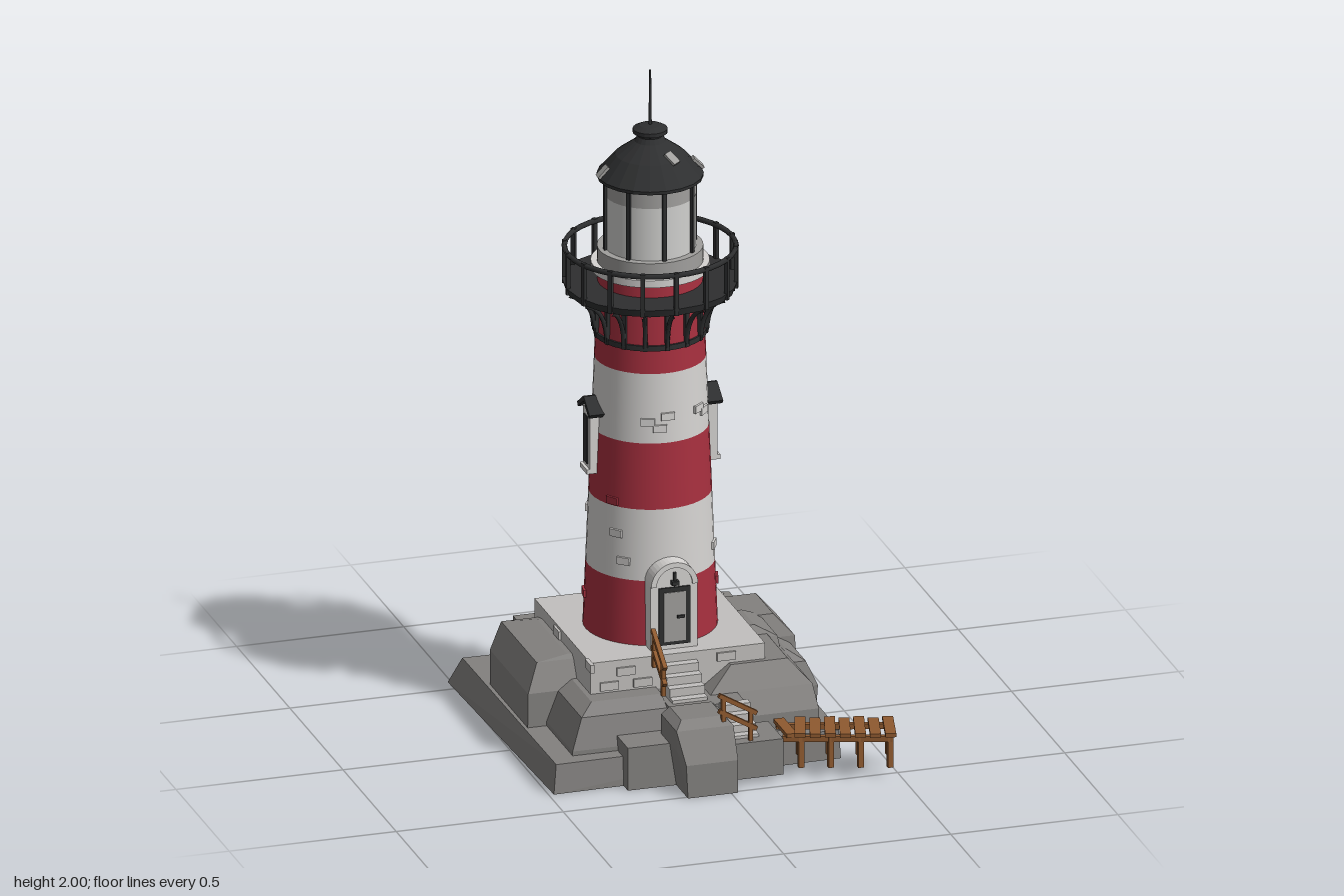
import * as THREE from 'three';
import { ConvexGeometry } from 'three/addons/geometries/ConvexGeometry.js';

const CX = -0.053, CZ = -0.088; // tower axis

export function createModel() {
  const model = new THREE.Group();
  model.name = 'lighthouse';
  const material = (name, color, extra = {}) => {
    const m = new THREE.MeshStandardMaterial({ color, ...extra });
    m.name = name;
    return m;
  };
  const red = material('red paint', 0xa8303f);
  const white = material('white paint', 0xd6d4d2);
  const stone = material('pale stone', 0xc2c0be);
  const rockMat = material('rock', 0x83817f);
  const iron = material('dark iron', 0x2e2f30);
  const glass = material('lantern glass', 0xd0d0ce);
  const grey = material('grey trim', 0xa09f9d);
  const wood = material('wood', 0x8f5a30);

  const add = (parent, name, geometry, mat, x = 0, y = 0, z = 0) => {
    const mesh = new THREE.Mesh(geometry, mat);
    mesh.name = name;
    mesh.position.set(x, y, z);
    parent.add(mesh);
    return mesh;
  };
  const group = (name, parent = model, x = 0, y = 0, z = 0) => {
    const g = new THREE.Group();
    g.name = name;
    g.position.set(x, y, z);
    parent.add(g);
    return g;
  };
  const box = (parent, name, mat, w, h, d, x, y, z) =>
    add(parent, name, new THREE.BoxGeometry(w, h, d), mat, x, y, z);
  const cyl = (parent, name, mat, r0, r1, y0, y1, sides = 32) =>
    add(parent, name, new THREE.CylinderGeometry(r1, r0, y1 - y0, sides), mat, 0, (y0 + y1) / 2, 0);
  // square beam between two points
  const beam = (parent, name, mat, a, b, size) => {
    const p = new THREE.Vector3(...a), q = new THREE.Vector3(...b);
    const m = box(parent, name, mat, size, size, p.distanceTo(q), 0, 0, 0);
    m.position.copy(p).add(q).multiplyScalar(0.5);
    m.lookAt(q);
    return m;
  };
  // convex stone through stacked rectangles [y, x0, x1, z0, z1]
  const hull = (parent, name, mat, rings) => {
    const pts = [];
    for (const [y, x0, x1, z0, z1] of rings)
      for (const x of [x0, x1]) for (const z of [z0, z1]) pts.push(new THREE.Vector3(x, y, z));
    return add(parent, name, new ConvexGeometry(pts), mat);
  };

  // rock base
  const rocks = group('rocks');
  const slab = [[-0.51, -0.555], [0.385, -0.525], [0.38, 0.345], [-0.485, 0.365]];
  const slabTop = [[-0.48, -0.512], [0.38, -0.505], [0.375, 0.342], [-0.475, 0.355]];
  add(rocks, 'baseSlab', new ConvexGeometry([
    ...slab.map(([x, z]) => new THREE.Vector3(x, 0, z)),
    ...slabTop.map(([x, z]) => new THREE.Vector3(x, 0.087, z)),
  ]), rockMat);
  const rockList = {
    coreRock: [[0.05, -0.32, 0.24, -0.38, 0.2], [0.24, -0.31, 0.21, -0.35, 0.17]],
    backRock: [[0.05, -0.33, 0.29, -0.51, -0.2], [0.2, -0.33, 0.29, -0.508, -0.2]],
    backRightRock: [[0.05, 0.12, 0.295, -0.47, -0.2], [0.225, 0.12, 0.295, -0.44, -0.2], [0.245, 0.12, 0.25, -0.4, -0.2]],
    leftRock: [[0.05, -0.467, -0.25, -0.29, 0.06], [0.19, -0.465, -0.25, -0.3, 0.06], [0.265, -0.425, -0.25, -0.32, 0.015], [0.275, -0.33, -0.25, -0.28, 0]],
    frontLeftRock: [[0.05, -0.41, -0.12, 0.0, 0.305], [0.1, -0.41, -0.12, 0.0, 0.305], [0.19, -0.375, -0.12, 0.02, 0.28], [0.215, -0.33, -0.12, 0.02, 0.23]],
    frontLeftStep: [[0, -0.275, -0.1, 0.28, 0.4], [0.13, -0.275, -0.1, 0.28, 0.4]],
    frontRock: [[0, -0.13, 0.02, 0.33, 0.51], [0.1, -0.135, 0.02, 0.33, 0.51], [0.13, -0.15, 0.025, 0.32, 0.47], [0.19, -0.15, 0.02, 0.32, 0.465], [0.21, -0.125, 0, 0.32, 0.43]],
    landingRock: [[0.02, 0, 0.17, 0.3, 0.463], [0.13, 0, 0.17, 0.32, 0.463]],
    stairRock: [[0.05, -0.12, 0.12, 0.15, 0.33], [0.2, -0.12, 0.1, 0.15, 0.32]],
    frontRightRock: [[0.05, 0, 0.33, -0.05, 0.3], [0.14, 0, 0.33, -0.05, 0.295], [0.2, 0.02, 0.325, -0.05, 0.25], [0.262, 0.1, 0.27, -0.05, 0.19]],
    rightRock: [[0.03, 0.2, 0.4, -0.24, 0.05], [0.11, 0.2, 0.405, -0.24, 0.05], [0.18, 0.2, 0.375, -0.2, 0.03], [0.205, 0.2, 0.33, -0.19, -0.02]],
    rightBackRock: [[0.05, 0.2, 0.395, -0.31, -0.1], [0.2, 0.2, 0.39, -0.3, -0.12], [0.262, 0.2, 0.335, -0.315, -0.15]],
    rightTopRock: [[0.15, 0.18, 0.31, -0.19, 0.05], [0.255, 0.18, 0.3, -0.18, 0.0], [0.285, 0.18, 0.24, -0.15, -0.03]],
  };
  for (const [name, rings] of Object.entries(rockList)) hull(rocks, name, rockMat, rings);
  add(rocks, 'paleShard', new ConvexGeometry([
    [0.165, 0.24, -0.42], [0.265, 0.24, -0.39], [0.22, 0.24, -0.36], [0.22, 0.28, -0.385],
  ].map((p) => new THREE.Vector3(...p))), stone);

  // stone platform with one cut corner and loose bricks
  const platform = group('platform');
  const outline = new THREE.Shape([[-0.315, 0.353], [0.11, 0.353], [0.207, 0.305], [0.207, -0.175], [-0.315, -0.175]]
    .reverse().map(([x, y]) => new THREE.Vector2(x, y)));
  const foot = new THREE.ExtrudeGeometry(outline, { depth: 0.11, bevelEnabled: false }).rotateX(-Math.PI / 2);
  add(platform, 'platformBlock', foot, stone, 0, 0.2, 0);
  for (const [x, y] of [[-0.26, 0.235], [-0.21, 0.275], [-0.16, 0.235], [0.09, 0.285]]) {
    box(platform, 'platformBrick', stone, 0.055, 0.025, 0.012, x, y, 0.176);
    box(platform, 'platformBrick', stone, 0.055, 0.025, 0.012, x + 0.05, y + 0.01, -0.354);
    box(platform, 'platformBrick', stone, 0.012, 0.025, 0.055, -0.316, y + 0.015, x + 0.08);
  }

  // two flights of steps
  const steps = group('steps');
  for (let i = 0; i < 4; i++) {
    const h = 0.285 - i * 0.025;
    box(steps, 'upperStep', stone, 0.105, h - 0.1, 0.028, -0.051, (h + 0.1) / 2, 0.187 + i * 0.027);
    const l = 0.205 - i * 0.022;
    box(steps, 'lowerStep', stone, 0.085, l - 0.1, 0.028, 0.066, (l + 0.1) / 2, 0.335 + i * 0.026);
  }

  // striped tower
  const tower = group('tower', model, CX, 0, CZ);
  const radius = (y) => 0.193 - 0.04 * (y - 0.31);
  [0.31, 0.505, 0.72, 0.92, 1.13, 1.4].forEach((y, i, a) => {
    if (i < 5) cyl(tower, i % 2 ? 'whiteBand' : 'redBand', i % 2 ? white : red, radius(y), radius(a[i + 1]), y, a[i + 1], 40);
  });
  // raised bricks: angle from the front in degrees, height
  const bricks = [[-55, 0.735], [-42, 0.56], [-50, 0.64], [38, 1.0], [48, 0.985], [62, 0.56], [75, 0.44], [115, 1.02],
    [125, 0.98], [-20, 0.985], [-8, 0.965], [0, 1.0], [160, 1.02], [172, 1.0], [185, 0.6], [200, 0.58], [-120, 0.65], [-130, 0.82], [-100, 0.41]];
  for (const [deg, y] of bricks) {
    const isRed = y < 0.505 || (y > 0.72 && y < 0.92);
    const pivot = group('brick', tower);
    pivot.rotation.y = THREE.MathUtils.degToRad(deg);
    box(pivot, 'towerBrick', isRed ? red : white, 0.04, 0.022, 0.02, 0, y, radius(y) - 0.004);
  }

  // arched doorway
  const door = group('door', tower);
  const arch = new THREE.Shape();
  arch.moveTo(-0.07, 0.31);
  arch.lineTo(0.07, 0.31);
  arch.lineTo(0.07, 0.505);
  arch.absarc(0, 0.505, 0.07, 0, Math.PI, false);
  arch.closePath();
  add(door, 'doorSurround', new THREE.ExtrudeGeometry(arch, { depth: 0.11, bevelEnabled: false, curveSegments: 10 }), white, 0, 0, 0.115);
  const rim = new THREE.Shape();
  rim.absarc(0, 0.505, 0.07, 0, Math.PI, false);
  rim.absarc(0, 0.505, 0.054, Math.PI, 0, true);
  add(door, 'archRim', new THREE.ExtrudeGeometry(rim, { depth: 0.006, bevelEnabled: false, curveSegments: 10 }), white, 0, 0, 0.225);
  box(door, 'doorFrame', iron, 0.094, 0.175, 0.008, 0, 0.412, 0.226);
  box(door, 'doorPanel', grey, 0.066, 0.15, 0.006, 0, 0.41, 0.229);
  box(door, 'doorKnob', iron, 0.022, 0.008, 0.01, 0.018, 0.41, 0.233);
  box(door, 'doorLampArm', iron, 0.008, 0.04, 0.012, 0, 0.525, 0.23);
  box(door, 'doorLamp', iron, 0.022, 0.012, 0.018, 0, 0.515, 0.234);

  // gabled windows on both sides
  for (const side of [-1, 1]) {
    const w = group('window', tower);
    w.rotation.y = side * Math.PI / 2;
    box(w, 'windowFrame', white, 0.066, 0.19, 0.05, 0, 0.89, 0.166);
    box(w, 'windowPane', iron, 0.03, 0.145, 0.006, 0, 0.892, 0.191);
    box(w, 'windowSill', white, 0.066, 0.014, 0.012, 0, 0.802, 0.194);
    add(w, 'windowGable', new THREE.CylinderGeometry(0.033, 0.033, 0.04, 3).rotateX(-Math.PI / 2), white, 0, 0.985, 0.17);
    for (const s of [-1, 1]) {
      const r = box(w, 'windowRoof', iron, 0.068, 0.014, 0.06, s * 0.027, 0.998, 0.17);
      r.rotation.z = -s * 0.6;
    }
  }

  // gallery deck, brackets and railing
  const gallery = group('gallery', tower);
  cyl(gallery, 'deck', iron, 0.245, 0.252, 1.338, 1.36, 20);
  cyl(gallery, 'bracketRing', iron, 0.163, 0.163, 1.2, 1.216, 32);
  const ring = (name, r, t, y) => add(gallery, name, new THREE.TorusGeometry(r, t, 6, 40).rotateX(Math.PI / 2), iron, 0, y, 0);
  ring('topRail', 0.245, 0.008, 1.462);
  const curve = new THREE.QuadraticBezierCurve3(
    new THREE.Vector3(0, 1.21, 0.162), new THREE.Vector3(0, 1.315, 0.168), new THREE.Vector3(0, 1.337, 0.243));
  const bracketGeo = new THREE.TubeGeometry(curve, 8, 0.007, 5);
  for (let i = 0; i < 16; i++) {
    const p = group('galleryBay', gallery);
    p.rotation.y = i * Math.PI / 8;
    add(p, 'bracket', bracketGeo, iron);
    box(p, 'bracketRib', iron, 0.012, 0.14, 0.012, 0, 1.27, 0.16);
    box(p, 'railPost', iron, 0.012, 0.13, 0.012, 0, 1.405, 0.246);
  }

  // lantern room
  const lantern = group('lantern', tower);
  cyl(lantern, 'lanternLedge', white, 0.17, 0.17, 1.398, 1.42, 40);
  cyl(lantern, 'lanternBase', grey, 0.152, 0.152, 1.42, 1.465, 40);
  cyl(lantern, 'lanternGlass', glass, 0.131, 0.131, 1.465, 1.625);
  cyl(lantern, 'lanternCollar', grey, 0.132, 0.132, 1.625, 1.685);
  for (let i = 0; i < 8; i++) {
    const a = i * Math.PI / 4;
    const post = box(lantern, 'lanternPost', iron, 0.012, 0.225, 0.012, Math.sin(a) * 0.133, 1.572, Math.cos(a) * 0.133);
    post.rotation.y = a;
  }

  // roof, cap and mast
  const roof = group('roof', tower);
  const profile = [[0, 1.675], [0.152, 1.675], [0.153, 1.685], [0.1, 1.745], [0.045, 1.785], [0.036, 1.8], [0.038, 1.805],
    [0.05, 1.81], [0.05, 1.822], [0.03, 1.832], [0, 1.835]].map(([x, y]) => new THREE.Vector2(x, y));
  const roofMesh = add(roof, 'roofShell', new THREE.LatheGeometry(profile, 20).toNonIndexed(), iron);
  roofMesh.geometry.computeVertexNormals();
  cyl(roof, 'mast', iron, 0.005, 0.003, 1.83, 2, 8);
  // loose roof tiles: offset x, z from the axis, twist
  for (const [x, z, twist] of [[-0.026, -0.132, 0.2], [0.02, -0.08, 0.3], [0.052, -0.087, -0.2], [-0.142, 0, 0], [0.135, 0.024, 0.1], [0.038, 0.086, 0.2]]) {
    const r = Math.hypot(x, z);
    const pivot = group('roofTile', roof, x, r > 0.1 ? 1.745 - (r - 0.1) * 1.13 : 1.745 + (0.1 - r) * 0.73, z);
    pivot.rotation.y = Math.atan2(x, z);
    const tile = box(pivot, 'tile', grey, 0.026, 0.008, 0.042, 0, 0.007, 0);
    tile.rotation.set(r > 0.1 ? 0.8 : 0.63, twist, 0);
  }

  // stair handrails
  const rails = group('handrails');
  const handrail = (name, a, b, height) => {
    const g = group(name, rails);
    const at = (t, h) => a.map((v, i) => v + (b[i] - v) * t + (i === 1 ? h : 0));
    for (const t of [0.08, 0.88]) beam(g, 'railPost', wood, at(t, 0), at(t, height), 0.012);
    for (const h of [height * 0.5, height]) beam(g, 'rail', wood, at(-0.05, h), at(1.05, h), 0.013);
  };
  handrail('upperHandrail', [-0.127, 0.285, 0.175], [-0.127, 0.215, 0.28], 0.1);
  handrail('lowerHandrail', [-0.012, 0.18, 0.445], [0.09, 0.12, 0.445], 0.095);

  // wooden pier curving away from the landing
  const pier = group('pier');
  for (let i = 0; i < 8; i++) {
    const t = i / 7, odd = i % 2 ? 0.004 : -0.004;
    const x = 0.197 + 0.283 * t, z = 0.397 + 0.088 * t;
    const plank = box(pier, 'plank', wood, 0.031, 0.012, 0.13 + odd, x, 0.136 + odd / 3, z);
    plank.rotation.y = i ? -0.32 + 0.08 * t : 0;
    if (i % 2) for (const s of [-1, 1])
      box(pier, 'pierLeg', wood, 0.016, 0.095, 0.016, x - s * 0.013, 0.082, z + s * 0.048);
  }
  for (const s of [-1, 1])
    beam(pier, 'pierBeam', wood, [0.18 - s * 0.005, 0.122, 0.393 + s * 0.048], [0.485 - s * 0.012, 0.122, 0.487 + s * 0.048], 0.016);

  return model;
}
